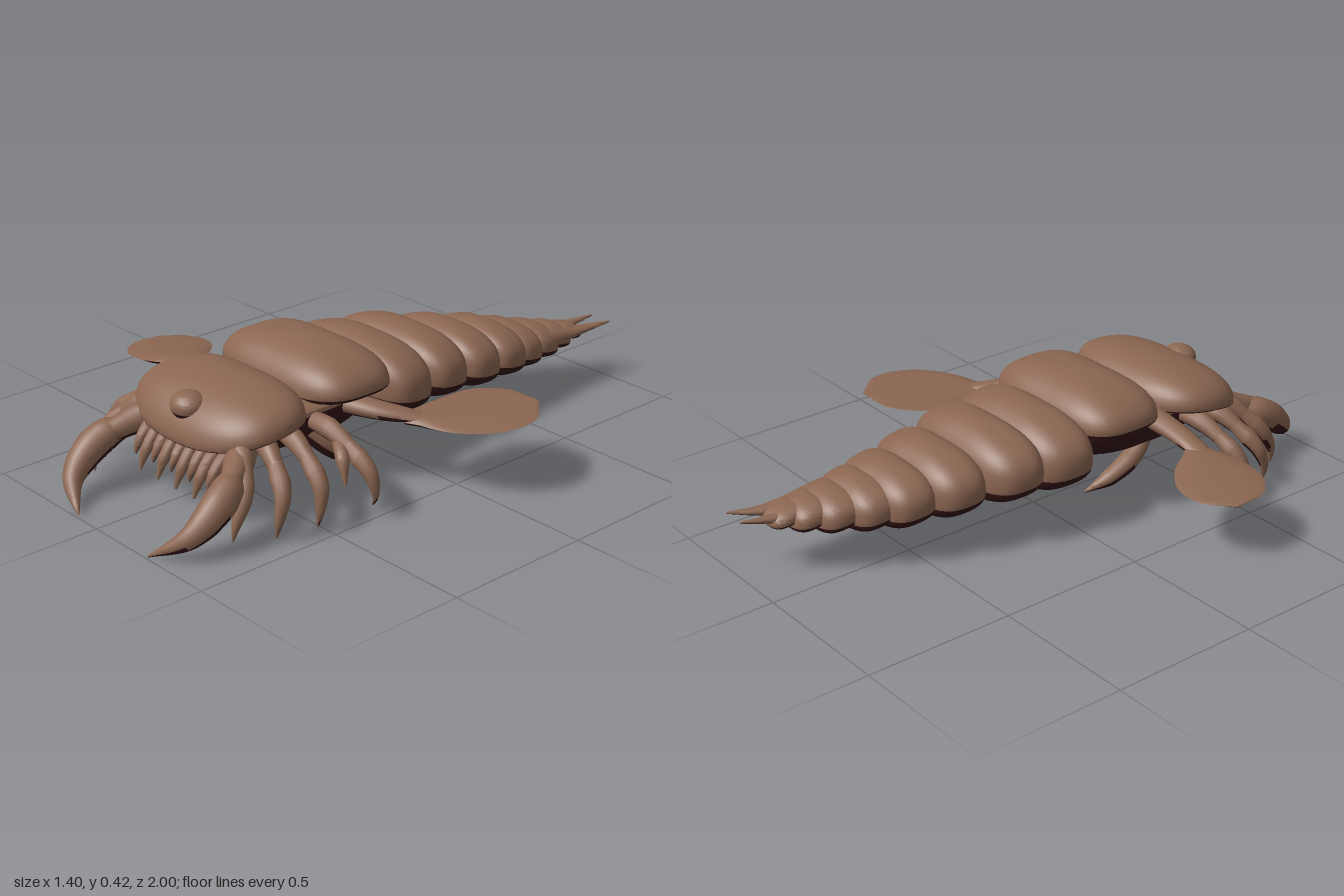
import * as THREE from 'three';
import { mergeVertices, toCreasedNormals } from 'three/addons/utils/BufferGeometryUtils.js';

const V = (p) => new THREE.Vector3(...p);

export function createModel() {
  const root = new THREE.Group();
  root.name = 'armouredCrustacean';
  const shell = new THREE.MeshStandardMaterial({ color: 0x8b6651 });
  shell.name = 'brown shell';
  const under = new THREE.MeshStandardMaterial({ color: 0x331416 });
  under.name = 'dark underside';

  // Smooths a geometry and gives its downward faces the dark colour
  function addPart(name, geo, limit = -0.4, parent = root) {
    geo.deleteAttribute('uv');
    geo.deleteAttribute('normal');
    const g = toCreasedNormals(mergeVertices(geo, 1e-5), 0.9);
    const p = g.attributes.position.array, n = g.attributes.normal.array;
    const pos = [[], []], nor = [[], []];
    const tri = new THREE.Triangle(), face = new THREE.Vector3();
    for (let i = 0; i < p.length; i += 9) {
      tri.a.fromArray(p, i); tri.b.fromArray(p, i + 3); tri.c.fromArray(p, i + 6);
      if (tri.getArea() < 1e-10) continue;
      const k = tri.getNormal(face).y < limit ? 1 : 0;
      for (let j = i; j < i + 9; j++) { pos[k].push(p[j]); nor[k].push(n[j]); }
    }
    const out = new THREE.BufferGeometry();
    out.setAttribute('position', new THREE.Float32BufferAttribute(pos[0].concat(pos[1]), 3));
    out.setAttribute('normal', new THREE.Float32BufferAttribute(nor[0].concat(nor[1]), 3));
    out.addGroup(0, pos[0].length / 3, 0);
    out.addGroup(pos[0].length / 3, pos[1].length / 3, 1);
    const mesh = new THREE.Mesh(out, [shell, under]);
    mesh.name = name;
    parent.add(mesh);
  }

  // Domed plate: rounded outline in plan, height above and depth below its rim
  function plate(name, o) {
    const { x, z, rx, rz, y, h, d, e = 2.6, q = 1.2, slope = 0, lift = 0, taper = 0, limit } = o;
    const g = new THREE.SphereGeometry(1, 48, 28), p = g.attributes.position;
    for (let i = 0; i < p.count; i++) {
      const px = p.getX(i), py = p.getY(i), pz = p.getZ(i);
      const r = Math.hypot(px, pz);
      // the poles have no direction, so they stay on the axis
      const k = r < 1e-6 ? 0 : (Math.abs(px / r) ** e + Math.abs(pz / r) ** e) ** (-1 / e);
      const ux = px * k, uz = pz * k;
      const up = Math.abs(py) ** q * (py > 0 ? h : -d);
      p.setXYZ(i, x + ux * rx * (1 + taper * uz), y + up + slope * uz + lift * ux * ux, z + uz * rz);
    }
    addPart(name, g, limit);
  }

  // Tapered limb along a curve, with width and thickness profiles
  function limb(name, pts, widths, thick = widths, parent = root, limit = -0.4) {
    const curve = new THREE.CatmullRomCurve3(pts.map(V));
    const n = 28, m = 12;
    const g = new THREE.TubeGeometry(curve, n, 1, m), p = g.attributes.position;
    const at = (a, t) => {
      const f = t * (a.length - 1), i = Math.min(Math.floor(f), a.length - 2);
      return THREE.MathUtils.lerp(a[i], a[i + 1], f - i);
    };
    for (let i = 0; i <= n; i++) {
      const c = curve.getPointAt(i / n), w = at(widths, i / n), t = at(thick, i / n);
      for (let j = 0; j <= m; j++) {
        const k = i * (m + 1) + j;
        p.setXYZ(k, c.x + (p.getX(k) - c.x) * w, c.y + (p.getY(k) - c.y) * t, c.z + (p.getZ(k) - c.z) * w);
      }
    }
    addPart(name, g, limit, parent);
  }

  // Head shield, second shield and snout knob
  plate('headShield', { x: 0.027, z: 0.55, rx: 0.307, rz: 0.19, y: 0.25, h: 0.135, d: 0.02, e: 2.5, q: 0.9, slope: -0.025, lift: 0.03, limit: -0.15 });
  plate('backShield', { x: 0.025, z: 0.205, rx: 0.295, rz: 0.172, y: 0.3, h: 0.125, d: 0.04, e: 3.2, q: 0.9, lift: 0.01, limit: -0.15 });
  plate('snoutKnob', { x: 0.04, z: 0.675, rx: 0.06, rz: 0.055, y: 0.325, h: 0.042, d: 0.05, e: 2, q: 1 });

  // Belly under the shields
  plate('belly', { x: 0.03, z: 0.36, rx: 0.23, rz: 0.33, y: 0.27, h: 0.04, d: 0.14, q: 0.7, limit: 0.1 });

  // Overlapping abdomen rings: z, half length, left edge, right edge, top, bottom
  [[-0.035, 0.125, 0.305, -0.262, 0.378, 0.13],
    [-0.205, 0.115, 0.298, -0.232, 0.365, 0.135],
    [-0.38, 0.105, 0.28, -0.168, 0.328, 0.12],
    [-0.525, 0.095, 0.263, -0.112, 0.298, 0.115],
    [-0.625, 0.08, 0.25, -0.055, 0.272, 0.12],
    [-0.715, 0.075, 0.24, 0.0, 0.25, 0.13],
    [-0.79, 0.065, 0.23, 0.05, 0.235, 0.145],
    [-0.85, 0.06, 0.222, 0.095, 0.222, 0.165],
  ].forEach(([z, rz, xl, xr, top, bottom], i) => {
    const y = bottom + (top - bottom) * 0.42;
    plate('abdomenRing' + (i + 1), {
      x: (xl + xr) / 2, z, rx: (xl - xr) / 2, rz, y, h: top - y, d: y - bottom,
      e: 3, q: 0.75, slope: 0.012, taper: 0.06, limit: -0.15,
    });
  });

  // Two tail spines
  limb('tailSpineRight', [[0.12, 0.2, -0.72], [0.14, 0.195, -0.88], [0.163, 0.207, -1]], [0.06, 0.025, 0.003], [0.035, 0.018, 0.003]);
  limb('tailSpineLeft', [[0.19, 0.2, -0.72], [0.205, 0.195, -0.88], [0.243, 0.207, -1]], [0.045, 0.03, 0.003], [0.035, 0.018, 0.003]);

  // Swimming paddles: thick stalk and thin round blade
  const stalk = [0.045, 0.042, 0.04, 0.035], stalkThick = [0.035, 0.03, 0.024, 0.014];
  limb('paddleStalkRight', [[-0.18, 0.27, 0.36], [-0.29, 0.258, 0.36], [-0.42, 0.236, 0.355]], stalk, stalkThick);
  limb('paddleStalkLeft', [[0.22, 0.26, 0.22], [0.33, 0.25, 0.17], [0.43, 0.235, 0.09]], stalk, stalkThick);
  const blade = [0.03, 0.055, 0.092, 0.12, 0.138, 0.15, 0.155, 0.148, 0.132, 0.1, 0.004];
  const bladeThick = [0.014, 0.016, 0.015, 0.014, 0.012, 0.011, 0.01, 0.009, 0.007, 0.005, 0.002];
  limb('paddleBladeRight', [[-0.37, 0.24, 0.36], [-0.54, 0.218, 0.3], [-0.7, 0.203, 0.235]], blade.map((w) => w * 0.92), bladeThick, root, -0.1);
  limb('paddleBladeLeft', [[0.39, 0.228, 0.125], [0.51, 0.238, -0.04], [0.605, 0.25, -0.245]], blade.map((w) => w * 1.08), bladeThick, root, -0.1);

  // Large front claws: upper joint and curved hook
  const hook = [0.03, 0.05, 0.052, 0.045, 0.032, 0.018, 0.003];
  limb('clawJointRight', [[-0.13, 0.24, 0.6], [-0.18, 0.215, 0.7], [-0.2, 0.19, 0.79]], [0.04, 0.048, 0.035]);
  limb('clawHookRight', [[-0.19, 0.2, 0.74], [-0.225, 0.165, 0.82], [-0.21, 0.08, 0.93], [-0.105, 0.008, 0.992]], hook);
  limb('clawJointLeft', [[0.2, 0.24, 0.58], [0.27, 0.22, 0.67], [0.33, 0.195, 0.75]], [0.04, 0.048, 0.035]);
  limb('clawHookLeft', [[0.3, 0.205, 0.71], [0.343, 0.165, 0.79], [0.342, 0.08, 0.91], [0.243, 0.008, 0.992]], hook);

  // Walking legs: base z, tip x, tip y, tip z for each side
  const legsLeft = [[0.62, 0.375, 0.03, 0.78], [0.56, 0.43, 0.02, 0.66], [0.48, 0.465, 0.025, 0.53], [0.37, 0.505, 0.05, 0.345]];
  const legsRight = [[0.62, -0.31, 0.02, 0.79], [0.56, -0.39, 0.02, 0.675], [0.48, -0.43, 0.03, 0.55]];
  [...legsLeft, ...legsRight].forEach(([z, tx, ty, tz]) => {
    const s = Math.sign(tx), bx = s > 0 ? 0.2 : -0.15;
    const mix = (f) => bx + (tx - bx) * f, mz = (f) => z + (tz - z) * f;
    const g = new THREE.Group();
    g.name = s > 0 ? 'walkingLegLeft' : 'walkingLegRight';
    root.add(g);
    limb('upperLeg', [[bx, 0.25, z], [mix(0.4), 0.245, mz(0.25)], [mix(0.75), 0.2, mz(0.5)]], [0.025, 0.033, 0.022], undefined, g);
    limb('lowerLeg', [[mix(0.66), 0.215, mz(0.42)], [mix(0.95), 0.15, mz(0.72)], [mix(1), 0.08, mz(0.95)], [mix(0.96), ty, tz]],
      [0.024, 0.03, 0.024, 0.015, 0.003], undefined, g);
  });
  // Side prongs on the rearmost left leg
  for (const dz of [-0.03, 0.06]) {
    limb('legProng', [[0.36, 0.22, 0.365], [0.42, 0.19, 0.365 + dz * 0.6], [0.455, 0.12, 0.36 + dz]], [0.02, 0.022, 0.003]);
  }

  // Backward-pointing hooks beneath the shields
  for (const s of [-1, 1]) {
    limb('rearHook', [[0.04 + s * 0.16, 0.24, 0.4], [0.05 + s * 0.2, 0.15, 0.31], [0.05 + s * 0.2, 0.095, 0.21], [0.05 + s * 0.17, 0.052, 0.12]],
      [0.03, 0.03, 0.035, 0.028, 0.003], undefined, root, -0.2);
  }

  // Row of small mouth feelers
  for (let i = 0; i < 9; i++) {
    const x = -0.13 + i * 0.044, drop = i % 2 ? 0.035 : 0;
    limb('mouthFeeler', [[x, 0.24, 0.58], [x, 0.215, 0.69], [x + 0.005, 0.165, 0.745], [x, 0.13 - drop, 0.755 + drop * 0.5]],
      [0.025, 0.025, 0.022, 0.018, 0.004]);
  }
  return root;
}
